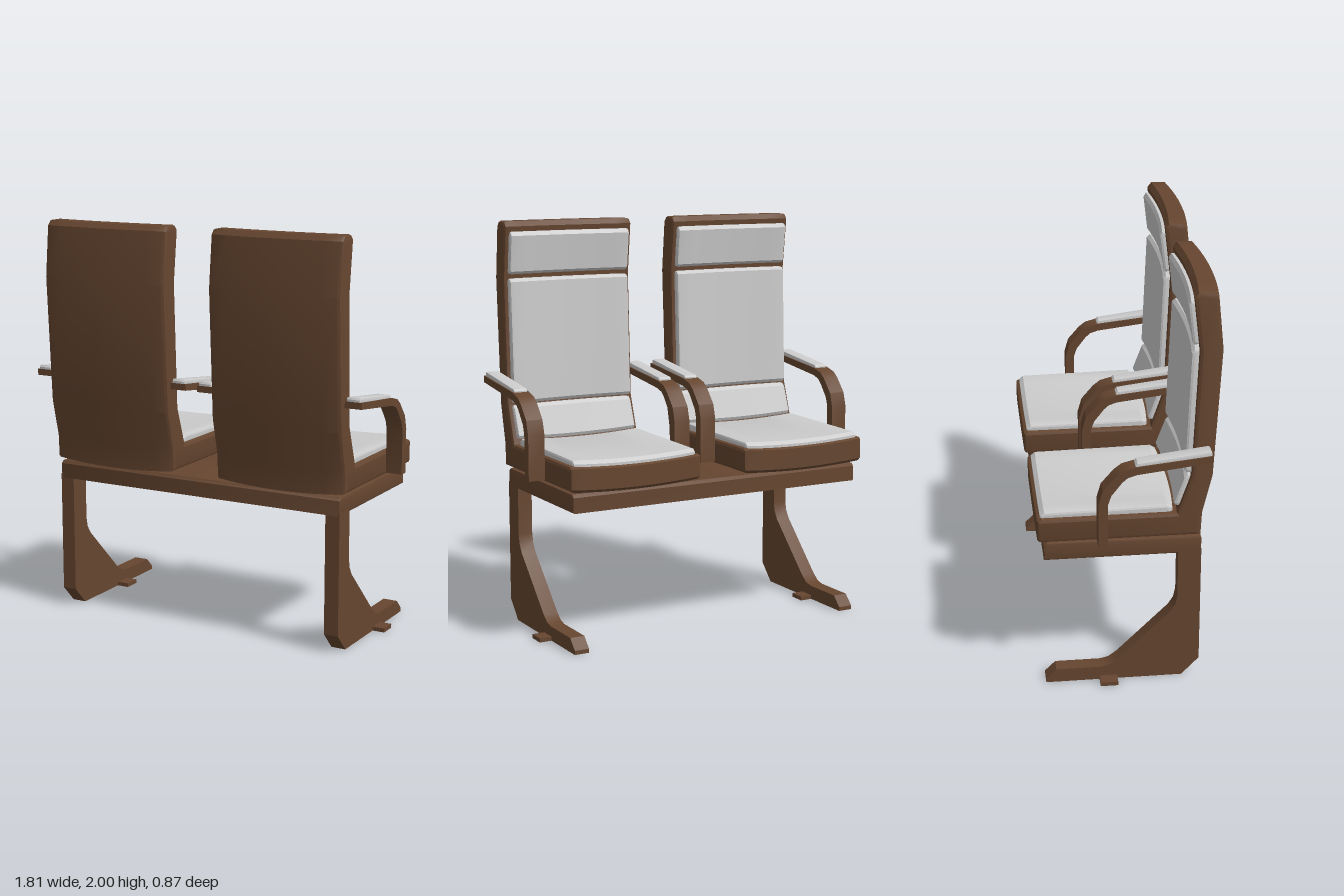
import * as THREE from 'three';
import { toCreasedNormals } from 'three/addons/utils/BufferGeometryUtils.js';

const brown = new THREE.MeshStandardMaterial({ color: 0x664630 });
const grey = new THREE.MeshStandardMaterial({ color: 0xcccccc });

// Solid with a side profile of [z, y] points, centred on x = 0
function profileSolid(name, points, width, material, { bevel = 0, steps = 1, bend = false } = {}) {
  const shape = new THREE.Shape(points.map(([z, y]) => new THREE.Vector2(-z, y)));
  const depth = width - 2 * bevel;
  const geometry = new THREE.ExtrudeGeometry(shape, {
    depth, steps, bevelEnabled: bevel > 0, bevelThickness: bevel,
    bevelSize: bevel, bevelOffset: -bevel, bevelSegments: 2,
  });
  geometry.translate(0, 0, -depth / 2).rotateY(Math.PI / 2);
  if (bend) hollow(geometry);
  const mesh = new THREE.Mesh(toCreasedNormals(geometry, 0.4), material);
  mesh.name = name;
  return mesh;
}

// Dishes the middle: backwards along the backrest, downwards along the seat
function hollow(geometry) {
  const p = geometry.attributes.position;
  for (let i = 0; i < p.count; i++) {
    const y = p.getY(i);
    const d = 0.022 * Math.max(0, 1 - (p.getX(i) / 0.347) ** 2);
    const t = THREE.MathUtils.clamp((y - 0.95) / 0.1, 0, 1);
    const corner = p.getZ(i) > 0.2 ? 1 : t;
    p.setZ(i, p.getZ(i) + d * corner);
    p.setY(i, y - d * 0.7 * (1 - t));
  }
}

const shellProfile = [
  [0.335, 0.787], [0.34, 0.9], [0.385, 1.09], [0.418, 1.72], [0.392, 1.975], [0.37, 2],
  [0.3, 2], [0.28, 1.975], [0.31, 1.72], [0.285, 1.1], [0.22, 0.91],
  [-0.41, 0.91], [-0.43, 0.9], [-0.43, 0.8], [-0.42, 0.787],
];
const cushionProfiles = {
  seatCushion: [[0.2, 0.89], [0.2, 0.93], [0.18, 0.945], [-0.395, 0.936], [-0.415, 0.92], [-0.415, 0.89]],
  lowerBackCushion: [[0.31, 1.095], [0.268, 1.095], [0.252, 1.08], [0.205, 0.955], [0.212, 0.94], [0.26, 0.93]],
  middleBackCushion: [[0.33, 1.72], [0.29, 1.72], [0.275, 1.705], [0.252, 1.12], [0.262, 1.105], [0.31, 1.105]],
  headCushion: [[0.31, 1.95], [0.268, 1.95], [0.256, 1.93], [0.277, 1.755], [0.288, 1.742], [0.335, 1.742]],
};
const armProfile = [
  [0.37, 1.24], [0.02, 1.203], [-0.04, 1.187], [-0.075, 1.16], [-0.135, 1.09], [-0.155, 1.02], [-0.155, 0.8],
  [-0.11, 0.8], [-0.11, 1.02], [-0.095, 1.065], [-0.045, 1.13], [-0.02, 1.152], [0.02, 1.165], [0.37, 1.208],
];
const padProfile = [[0.367, 1.235], [0.367, 1.25], [0.36, 1.26], [0.025, 1.218], [0.016, 1.208], [0.016, 1.195]];
const legProfile = [
  [0.345, 0.7], [0.345, 0.09], [0.26, 0], [-0.4, 0], [-0.4, 0.02], [-0.35, 0.07], [-0.13, 0.07],
  [-0.09, 0.08], [-0.05, 0.11], [0.2, 0.36], [0.225, 0.4], [0.235, 0.45], [0.235, 0.7],
];
const benchProfile = [
  [0.345, 0.68], [0.345, 0.755], [0.33, 0.77], [-0.385, 0.77], [-0.4, 0.755], [-0.4, 0.68],
];

function createSeat() {
  const seat = new THREE.Group();
  seat.add(profileSolid('seatShell', shellProfile, 0.694, brown, { bevel: 0.018, steps: 8, bend: true }));
  for (const [name, points] of Object.entries(cushionProfiles)) {
    seat.add(profileSolid(name, points, 0.65, grey, { bevel: 0.013, steps: 8, bend: true }));
  }
  // Armrests on both sides
  for (const side of [-1, 1]) {
    const armrest = new THREE.Group();
    armrest.name = side > 0 ? 'leftArmrest' : 'rightArmrest';
    armrest.add(
      profileSolid('armFrame', armProfile, 0.084, brown),
      profileSolid('armPad', padProfile, 0.07, grey, { bevel: 0.006 }),
    );
    armrest.position.x = side * 0.394;
    seat.add(armrest);
  }
  return seat;
}

export function createModel() {
  const model = new THREE.Group();
  model.name = 'doubleSeat';

  // Bench beam under both seats
  model.add(profileSolid('benchBeam', benchProfile, 1.58, brown, { bevel: 0.008 }));

  for (const side of [-1, 1]) {
    const label = side > 0 ? 'left' : 'right';
    const seat = createSeat();
    seat.name = label + 'Seat';
    seat.position.x = side * 0.468;
    model.add(seat);

    // Leg with its cross plate on the floor
    const leg = new THREE.Group();
    leg.name = label + 'Leg';
    const plate = new THREE.Mesh(new THREE.BoxGeometry(0.2, 0.02, 0.085), brown);
    plate.name = 'footPlate';
    plate.position.set(0, 0.01, -0.098);
    leg.add(profileSolid('legFrame', legProfile, 0.074, brown), plate);
    leg.position.x = side * 0.753;
    model.add(leg);
  }
  return model;
}
